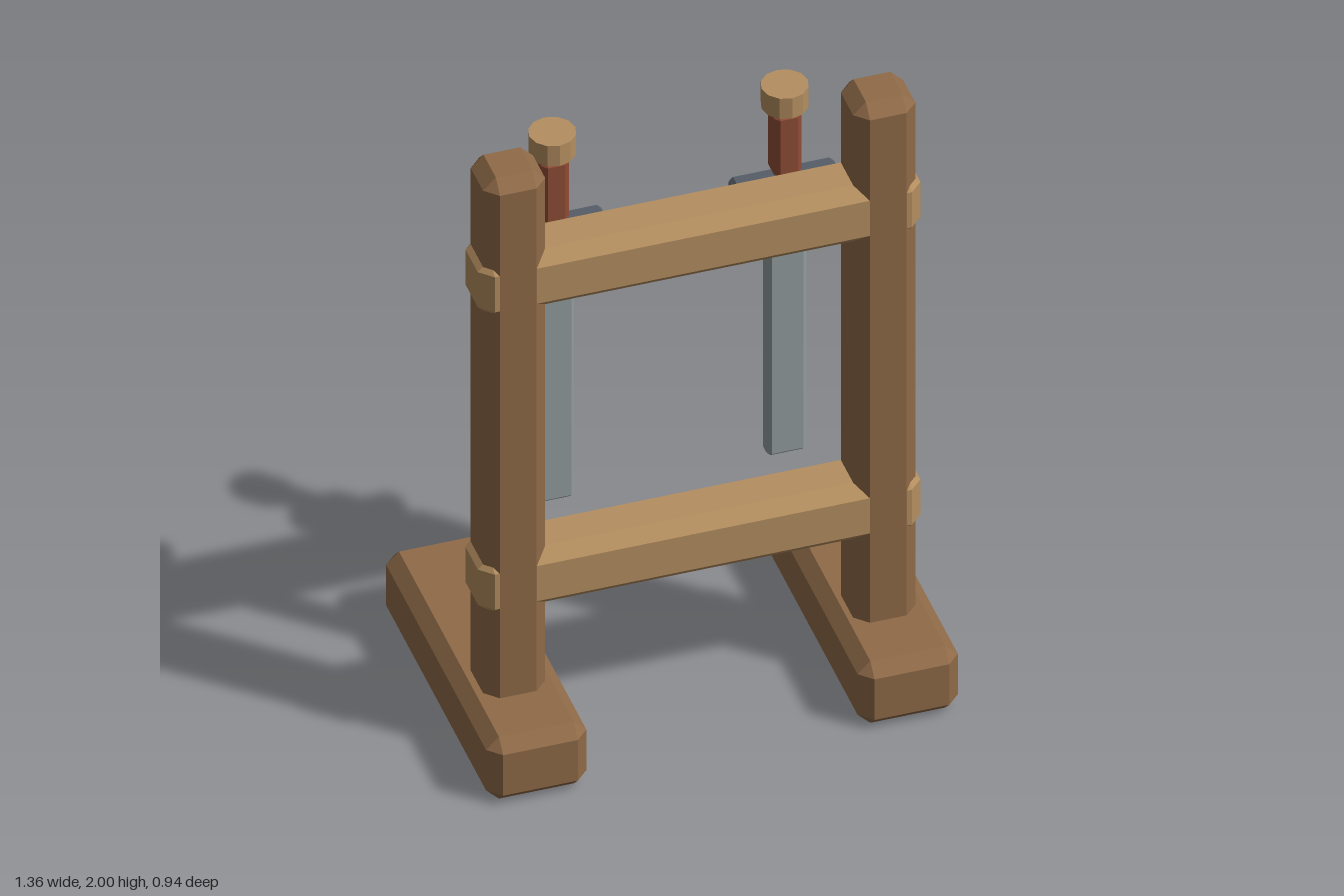
import * as THREE from 'three';
import { ConvexGeometry } from 'three/addons/geometries/ConvexGeometry.js';

function material(name, color) {
  const m = new THREE.MeshStandardMaterial({ color });
  m.name = name;
  return m;
}

// Box with every edge cut at 45 degrees by c
function chamferBox(w, h, d, c) {
  const points = [];
  for (const sx of [-1, 1]) for (const sy of [-1, 1]) for (const sz of [-1, 1]) {
    for (let axis = 0; axis < 3; axis++) {
      const cut = [c, c, c];
      cut[axis] = 0;
      points.push(new THREE.Vector3(
        sx * (w / 2 - cut[0]), sy * (h / 2 - cut[1]), sz * (d / 2 - cut[2])));
    }
  }
  return new ConvexGeometry(points);
}

function addPart(parent, name, geometry, mat, x, y, z) {
  const mesh = new THREE.Mesh(geometry, mat);
  mesh.name = name;
  mesh.position.set(x, y, z);
  parent.add(mesh);
  return mesh;
}

export function createModel() {
  const darkWood = material('dark wood', 0x8f6a47);
  const lightWood = material('light wood', 0xb48e5f);
  const steel = material('blade steel', 0x919c9d);
  const iron = material('guard iron', 0x565d67);
  const leather = material('grip leather', 0x8e4c35);

  const model = new THREE.Group();
  model.name = 'swordRack';
  const frameZ = 0.183, chamfer = 0.037;

  // Feet and posts
  const foot = chamferBox(0.29, 0.215, 0.945, chamfer);
  const post = chamferBox(0.18, 1.86, 0.181, chamfer);
  for (const [side, s] of [['left', 1], ['right', -1]]) {
    addPart(model, side + 'Foot', foot, darkWood, s * 0.537, 0.1075, 0);
    addPart(model, side + 'Post', post, darkWood, s * 0.535, 1.07, frameZ);
  }

  // Cross rails, passing through the posts
  const rail = chamferBox(1.28, 0.196, 0.18, chamfer);
  addPart(model, 'lowerRail', rail, lightWood, 0, 0.587, frameZ);
  addPart(model, 'upperRail', rail, lightWood, 0, 1.622, frameZ);

  // Swords hanging behind the rails
  const blade = chamferBox(0.116, 0.9, 0.055, 0.012);
  const guard = chamferBox(0.304, 0.057, 0.087, 0.013);
  const grip = chamferBox(0.08, 0.222, 0.08, 0.015);
  const pommel = new THREE.CylinderGeometry(0.067, 0.067, 0.07, 12).toNonIndexed();
  pommel.computeVertexNormals();
  for (const [side, s] of [['left', 1], ['right', -1]]) {
    const sword = new THREE.Group();
    sword.name = side + 'Sword';
    sword.position.set(s * 0.336, 0, -0.031);
    addPart(sword, 'blade', blade, steel, 0, 1.082, 0);
    addPart(sword, 'guard', guard, iron, 0, 1.56, 0);
    addPart(sword, 'grip', grip, leather, 0, 1.711, 0);
    addPart(sword, 'pommel', pommel, lightWood, 0, 1.865, 0);
    model.add(sword);
  }
  return model;
}
